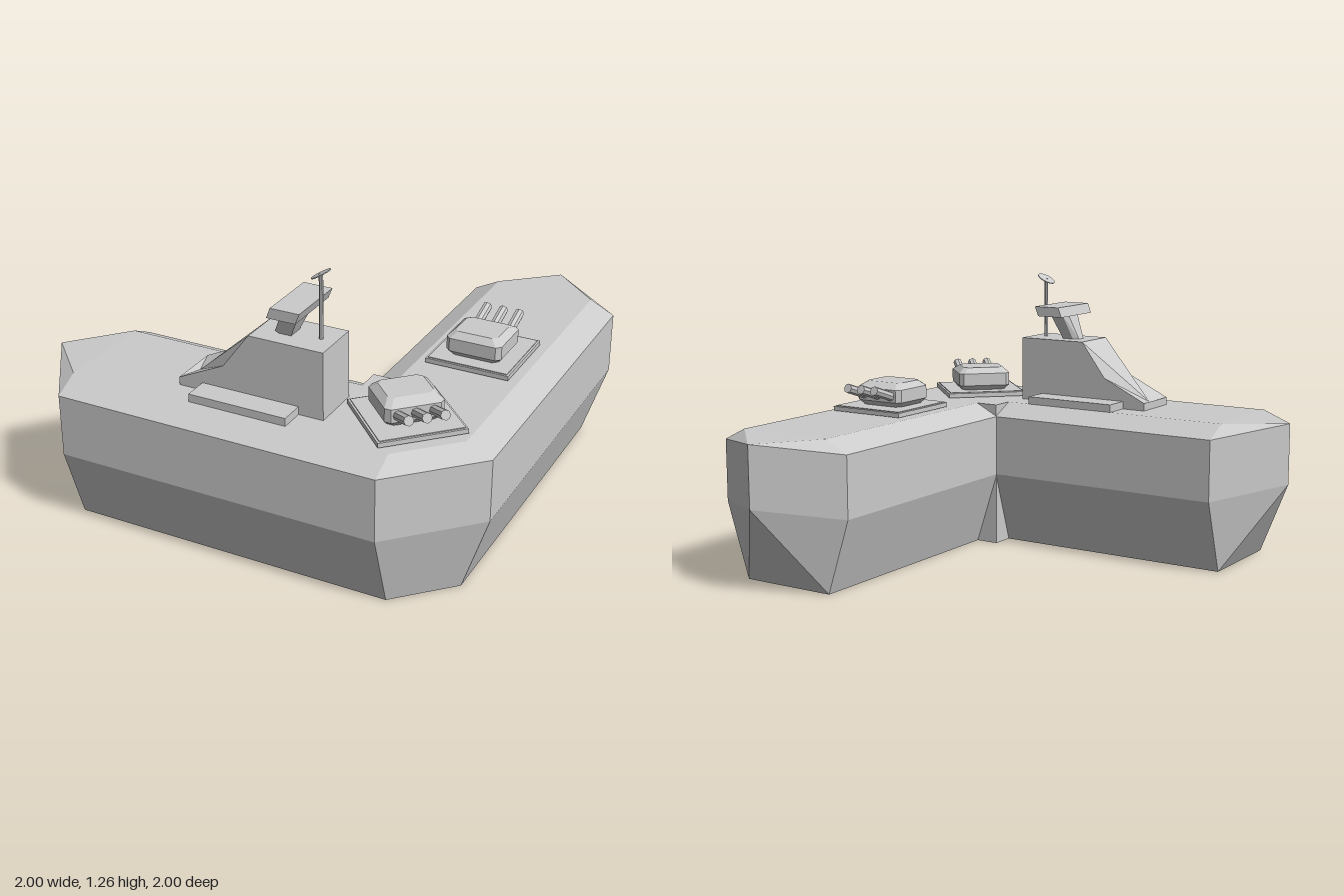
import * as THREE from 'three';
import { ConvexGeometry } from 'three/addons/geometries/ConvexGeometry.js';

const material = new THREE.MeshStandardMaterial({ color: 0xcccccc, flatShading: true });
const thin = new THREE.MeshStandardMaterial({ color: 0xcccccc, flatShading: true, side: THREE.DoubleSide });

function add(parent, name, geometry, x = 0, y = 0, z = 0, mat = material) {
  const mesh = new THREE.Mesh(geometry, mat);
  mesh.name = name;
  mesh.position.set(x, y, z);
  parent.add(mesh);
  return mesh;
}

const solid = (points) => new ConvexGeometry(points.map((p) => new THREE.Vector3(...p)));
const box = (w, h, d) => new THREE.BoxGeometry(w, h, d);

const MID = 0.665;   // centreline of both hull arms
const INNER = 0.333; // inner corner of the L

// Hull cross-section: [half width, height]
const SECTION = [[0.225, 0], [0.335, 0.335], [0.335, 0.61], [0.225, 0.665]];

// One straight hull arm along -x with a pointed end
function hullArm() {
  const points = [[-1, 0.655, MID], [-1, 0.38, MID]];
  for (const x of [INNER, -0.775])
    for (const [w, y] of SECTION) points.push([x, y, MID - w], [x, y, MID + w]);
  return points;
}

// Corner block with a chamfered outer edge
function hullCorner() {
  const points = [];
  for (const [w, y] of SECTION) {
    const o = MID + w;
    points.push([INNER, y, INNER], [INNER, y, o], [MID, y, o], [o, y, MID], [o, y, INNER]);
  }
  return points;
}

// Three-gun turret on a square plate, guns facing -z
function turret(name, x, z, angle) {
  const group = new THREE.Group();
  group.name = name;
  group.position.set(x, 0.665, z);
  group.rotation.y = angle;
  add(group, 'turretPlate', box(0.37, 0.02, 0.37), 0, 0.015, 0);
  add(group, 'turretPlateTop', box(0.352, 0.006, 0.352), 0, 0.026, 0);

  // Rows of the bevelled housing: [height, half width, front z, rear z]
  const rows = [[0.025, 0.1, -0.075, 0.105], [0.052, 0.123, -0.1, 0.128],
    [0.11, 0.123, -0.1, 0.128], [0.136, 0.095, -0.055, 0.1]];
  const points = [];
  for (const [y, w, front, rear] of rows)
    for (const s of [-1, 1])
      points.push([s * w, y, front + 0.02], [s * (w - 0.02), y, front],
        [s * w, y, rear - 0.02], [s * (w - 0.02), y, rear]);
  add(group, 'turretHousing', solid(points));

  for (const bx of [-0.074, 0, 0.074]) {
    const barrel = add(group, 'gunBarrel', new THREE.CylinderGeometry(0.021, 0.021, 0.17, 8), bx, 0.094, -0.137);
    barrel.rotation.x = -Math.PI / 2 + 0.32;
  }
  return group;
}

// Sloping front of the bridge, with a wedge pinched to a point
function bridgeNose() {
  const positions = [];
  const tip = [-0.3, 0.69, 0];
  for (const s of [1, -1]) {
    const top = [0, 0.96, 0.11 * s], base = [0, 0.665, 0.11 * s];
    const fold = [-0.12, 0.8, 0.11 * s], toe = [-0.33, 0.7, 0.11 * s], foot = [-0.33, 0.665, 0.11 * s];
    const faces = [[base, top, fold], [base, fold, toe], [base, toe, foot],
      [top, tip, fold], [fold, tip, toe],
      [[0, 0.96, 0], tip, top], [toe, tip, [-0.33, 0.7, 0]],
      [foot, toe, [-0.33, 0.7, 0]], [foot, [-0.33, 0.7, 0], [-0.33, 0.665, 0]]];
    for (const [a, b, c] of faces) positions.push(...a, ...(s > 0 ? b : c), ...(s > 0 ? c : b));
  }
  const geometry = new THREE.BufferGeometry();
  geometry.setAttribute('position', new THREE.Float32BufferAttribute(positions, 3));
  geometry.computeVertexNormals();
  return geometry;
}

function bridge() {
  const group = new THREE.Group();
  group.name = 'bridge';
  group.position.z = MID;
  add(group, 'bridgePlatform', box(0.44, 0.035, 0.445), 0, 0.6825, -0.005);
  add(group, 'bridgeTower', box(0.33, 0.295, 0.22), 0.165, 0.8125, 0);
  add(group, 'bridgeNose', bridgeNose(), 0, 0, 0, thin);

  // Leaning neck and wide lookout head
  const neck = [], head = [];
  for (const s of [-1, 1]) {
    neck.push([0.07, 0.96, 0.02 * s], [0.095, 0.96, 0.035 * s], [0.15, 0.96, 0.035 * s],
      [0.115, 1.07, 0.04 * s], [0.135, 1.07, 0.062 * s], [0.2, 1.07, 0.062 * s]);
    head.push([0.098, 1.07, 0.137 * s], [0.225, 1.07, 0.137 * s],
      [0.115, 1.115, 0.137 * s], [0.243, 1.115, 0.137 * s]);
  }
  add(group, 'lookoutNeck', solid(neck));
  add(group, 'lookoutHead', solid(head));

  // Mast with a tilted dish
  add(group, 'mast', new THREE.CylinderGeometry(0.009, 0.009, 0.275, 8), 0.265, 1.0975, 0);
  const dish = add(group, 'radarDish', new THREE.CylinderGeometry(0.043, 0.043, 0.004, 16), 0.265, 1.235, 0);
  dish.rotation.z = 0.52;
  return group;
}

export function createModel() {
  const model = new THREE.Group();
  model.name = 'cornerWarship';

  // Hull: two mirrored arms (x and z swapped) joined by the corner block
  const arm = hullArm();
  add(model, 'hullArmSide', solid(arm));
  add(model, 'hullArmBack', solid(arm.map(([x, y, z]) => [z, y, x])));
  add(model, 'hullCorner', solid(hullCorner()));

  model.add(bridge());
  model.add(turret('backTurret', 0.665, -0.04, 0));
  model.add(turret('cornerTurret', 0.615, 0.615, -Math.PI * 0.75));
  return model;
}
